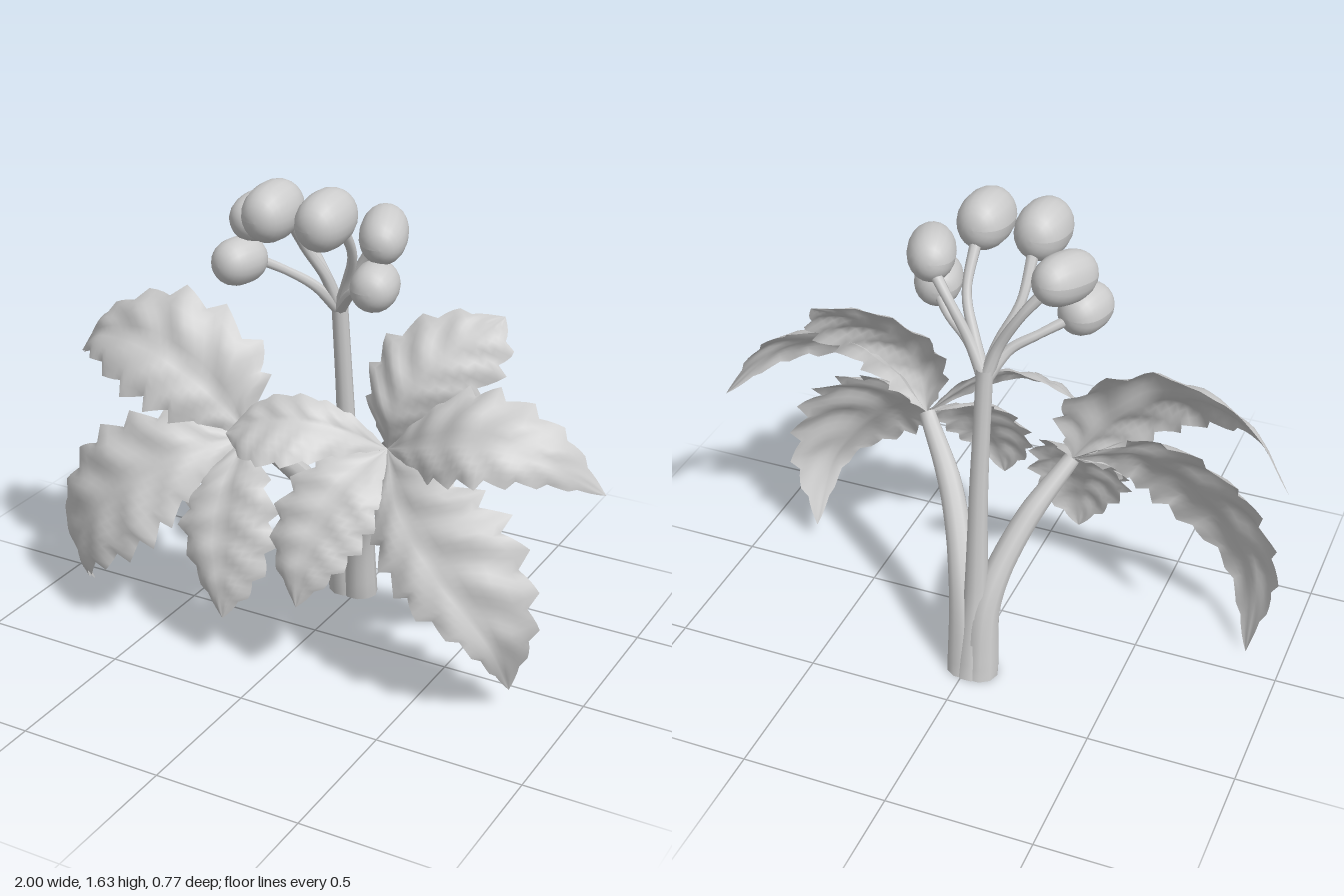
import * as THREE from 'three';

const matte = new THREE.MeshStandardMaterial({ color: 0xcccccc, side: THREE.DoubleSide });
matte.name = 'pale grey';

const curveOf = (pts) => new THREE.CatmullRomCurve3(pts.map((p) => new THREE.Vector3(...p)), false, 'centripetal');

function add(group, name, geometry) {
  const mesh = new THREE.Mesh(geometry, matte);
  mesh.name = name;
  group.add(mesh);
  return mesh;
}

// Round stem along a curve, its radius read from a list; the foot stays flat on y = 0
function stem(group, name, pts, radii, sides = 10) {
  const n = 24, curve = curveOf(pts);
  const geo = new THREE.TubeGeometry(curve, n, 1, sides, false);
  const pos = geo.attributes.position, v = new THREE.Vector3();
  for (let i = 0; i <= n; i++) {
    const c = curve.getPointAt(i / n);
    const f = (i / n) * (radii.length - 1), k = Math.min(Math.floor(f), radii.length - 2);
    const r = THREE.MathUtils.lerp(radii[k], radii[k + 1], f - k);
    for (let j = 0; j <= sides; j++) {
      const id = i * (sides + 1) + j;
      v.fromBufferAttribute(pos, id).sub(c).multiplyScalar(r).add(c);
      pos.setXYZ(id, v.x, i === 0 && pts[0][1] === 0 ? 0 : Math.max(0, v.y), v.z);
    }
  }
  geo.computeVertexNormals();
  add(group, name, geo);
}

// Toothed leaflet lofted between one edge, the midrib and the other edge
function leaflet(group, name, base, tip, edgeA, rib, edgeB, teeth = 9, bite = 0.24) {
  const [a, m, b] = [edgeA, rib, edgeB].map((p) => curveOf([base, ...p, tip]));
  const perTooth = 4, rows = teeth * perTooth, half = 6, cols = half * 2;
  const verts = [], index = [];
  for (let i = 0; i <= rows; i++) {
    const t = i / rows, mid = m.getPoint(t), ends = [a.getPoint(t), b.getPoint(t)];
    const saw = (i % perTooth) / (perTooth - 1) - 0.6;
    for (let j = 0; j <= cols; j++) {
      const s = (j - half) / half, u = Math.abs(s);
      const out = ends[s < 0 ? 0 : 1].clone().sub(mid);
      const width = out.length();
      const p = mid.clone().addScaledVector(out, u + bite * saw * u ** 4);
      // Soft pleats along side veins, with a bulge between rib and edge
      const pleat = 0.05 * width * Math.sin(2 * Math.PI * (t - 0.16 * u) * 6) * Math.sin(Math.PI * Math.min(u, 0.85));
      const bulge = 0.12 * width * Math.sin(Math.PI * u) + pleat;
      verts.push(p.x, p.y + bulge * 0.5, p.z + bulge * 0.85);
      if (i < rows && j < cols) {
        const k = i * (cols + 1) + j, l = k + cols + 1;
        index.push(k, k + 1, l, k + 1, l + 1, l);
      }
    }
  }
  const geo = new THREE.BufferGeometry();
  geo.setAttribute('position', new THREE.Float32BufferAttribute(verts, 3));
  geo.setIndex(index);
  geo.computeVertexNormals();
  add(group, name, geo);
}

// Blunt, barrel-like berry lying along z
function berry(group, [x, y, z], [rx, ry, rz], turn, tilt) {
  const geo = new THREE.SphereGeometry(1, 20, 16);
  geo.rotateX(Math.PI / 2);
  const pos = geo.attributes.position, power = 2.4;
  for (let i = 0; i < pos.count; i++) {
    const d = Math.hypot(pos.getX(i), pos.getY(i)), h = Math.abs(pos.getZ(i));
    const grow = (d ** power + h ** power) ** (-1 / power);
    pos.setXYZ(i, pos.getX(i) * grow, pos.getY(i) * grow, pos.getZ(i) * grow);
  }
  geo.scale(rx, ry, rz);
  geo.computeVertexNormals();
  const mesh = add(group, 'berry', geo);
  mesh.position.set(x, y, z);
  mesh.rotation.set(tilt, turn, 0);
}

export function createModel() {
  const plant = new THREE.Group();
  plant.name = 'berryPlant';

  // Stems rising from a shared foot
  const stems = new THREE.Group();
  stems.name = 'stems';
  plant.add(stems);
  const A = [-0.24, 0.71, 0.03], B = [0.28, 0.77, 0.02];
  stem(stems, 'flowerStem', [[-0.02, 0, -0.328], [-0.02, 0.3, -0.285], [-0.02, 0.7, -0.255], [-0.03, 1.16, -0.22]],
    [0.062, 0.042, 0.034, 0.03, 0.028]);
  stem(stems, 'rightLeafStem', [[-0.048, 0, -0.322], [-0.055, 0.28, -0.27], [-0.13, 0.52, -0.13], A],
    [0.064, 0.055, 0.045, 0.04, 0.028]);
  stem(stems, 'leftLeafStem', [[0.006, 0, -0.322], [0.035, 0.3, -0.26], [0.14, 0.58, -0.11], B],
    [0.064, 0.055, 0.045, 0.04, 0.028]);

  // Right compound leaf
  const right = new THREE.Group();
  right.name = 'rightLeaf';
  plant.add(right);
  leaflet(right, 'upperLeaflet', A, [-1, 0.83, -0.08],
    [[-0.22, 0.95, -0.06], [-0.5, 1.15, -0.05], [-0.82, 1.05, -0.04]],
    [[-0.36, 0.87, 0.06], [-0.57, 1, 0.09], [-0.83, 0.97, 0.03]],
    [[-0.43, 0.75, 0.14], [-0.62, 0.83, 0.19], [-0.84, 0.9, 0.09]]);
  leaflet(right, 'lowerLeaflet', A, [-0.87, 0.015, 0.09],
    [[-0.48, 0.78, 0.12], [-0.8, 0.63, 0.14], [-0.94, 0.32, 0.15]],
    [[-0.42, 0.66, 0.2], [-0.65, 0.49, 0.28], [-0.83, 0.25, 0.24]],
    [[-0.34, 0.54, 0.22], [-0.47, 0.36, 0.34], [-0.71, 0.2, 0.32]], 10);
  leaflet(right, 'innerLowerLeaflet', A, [-0.16, 0.18, 0.35],
    [[-0.34, 0.59, 0.18], [-0.37, 0.46, 0.26], [-0.28, 0.31, 0.32]],
    [[-0.22, 0.6, 0.2], [-0.2, 0.45, 0.29], [-0.17, 0.31, 0.34]],
    [[-0.08, 0.64, 0.18], [-0.01, 0.47, 0.25], [-0.06, 0.3, 0.31]], 7);

  // Left compound leaf, with one leaflet reaching across the flower stem
  const left = new THREE.Group();
  left.name = 'leftLeaf';
  plant.add(left);
  leaflet(left, 'upperLeaflet', B, [0.59, 1.22, -0.18],
    [[0.2, 0.93, 0.01], [0.22, 1.1, -0.06], [0.4, 1.22, -0.13]],
    [[0.31, 0.9, 0.06], [0.39, 1.04, 0.02], [0.49, 1.15, -0.08]],
    [[0.4, 0.85, 0], [0.55, 0.97, -0.04], [0.63, 1.09, -0.13]], 7);
  leaflet(left, 'outerLeaflet', B, [1, 0.73, -0.08],
    [[0.4, 0.94, -0.01], [0.62, 1.03, -0.03], [0.86, 0.94, -0.04]],
    [[0.45, 0.86, 0.09], [0.64, 0.92, 0.12], [0.85, 0.87, 0.06]],
    [[0.45, 0.75, 0.14], [0.65, 0.8, 0.2], [0.84, 0.8, 0.1]]);
  leaflet(left, 'lowerLeaflet', B, [0.79, 0.07, 0.13],
    [[0.54, 0.79, 0.12], [0.77, 0.66, 0.13], [0.88, 0.35, 0.15]],
    [[0.44, 0.67, 0.21], [0.61, 0.52, 0.28], [0.77, 0.3, 0.25]],
    [[0.34, 0.57, 0.24], [0.5, 0.42, 0.34], [0.72, 0.28, 0.31]], 10);
  leaflet(left, 'innerLowerLeaflet', B, [0.14, 0.32, 0.38],
    [[0.1, 0.75, 0.16], [0.01, 0.62, 0.25], [0.03, 0.46, 0.33]],
    [[0.21, 0.7, 0.2], [0.17, 0.57, 0.3], [0.15, 0.44, 0.36]],
    [[0.35, 0.65, 0.19], [0.32, 0.53, 0.27], [0.25, 0.43, 0.34]], 7);
  leaflet(left, 'innerUpperLeaflet', B, [-0.22, 0.79, 0.21],
    [[0.17, 0.89, 0.07], [0.03, 0.94, 0.11], [-0.13, 0.9, 0.13]],
    [[0.16, 0.85, 0.12], [0.03, 0.88, 0.19], [-0.11, 0.85, 0.21]],
    [[0.18, 0.78, 0.17], [0.07, 0.78, 0.31], [-0.07, 0.77, 0.33]], 7, 0.14);

  // Three pairs of berries on forked stalks
  const cluster = new THREE.Group();
  cluster.name = 'berryCluster';
  plant.add(cluster);
  const fork = [-0.03, 1.12, -0.22];
  for (const s of [-1, 1]) {
    const cx = -0.02, lowX = -0.033 + s * 0.25;
    berry(cluster, [cx + s * 0.096, 1.53, 0.065], [0.086, 0.095, 0.12], 0, 0.1);
    berry(cluster, [cx + s * 0.222, 1.46, -0.085], [0.078, 0.085, 0.122], s * 0.35, 0.15);
    berry(cluster, [lowX, 1.315, 0], [0.078, 0.08, 0.098], s * 0.25, 0);
    stem(cluster, 'upperBerryStalk', [fork, [cx + s * 0.04, 1.24, -0.18], [cx + s * 0.09, 1.36, -0.12], [cx + s * 0.096, 1.5, -0.02]],
      [0.024, 0.018, 0.016, 0.02], 8);
    stem(cluster, 'middleBerryStalk', [fork, [cx + s * 0.05, 1.24, -0.2], [cx + s * 0.12, 1.36, -0.19], [cx + s * 0.19, 1.45, -0.16]],
      [0.024, 0.018, 0.016, 0.02], 8);
    stem(cluster, 'lowerBerryStalk', [fork, [cx + s * 0.07, 1.21, -0.16], [cx + s * 0.15, 1.26, -0.12], [lowX - s * 0.02, 1.31, -0.06]],
      [0.024, 0.018, 0.015, 0.018], 8);
  }
  return plant;
}
